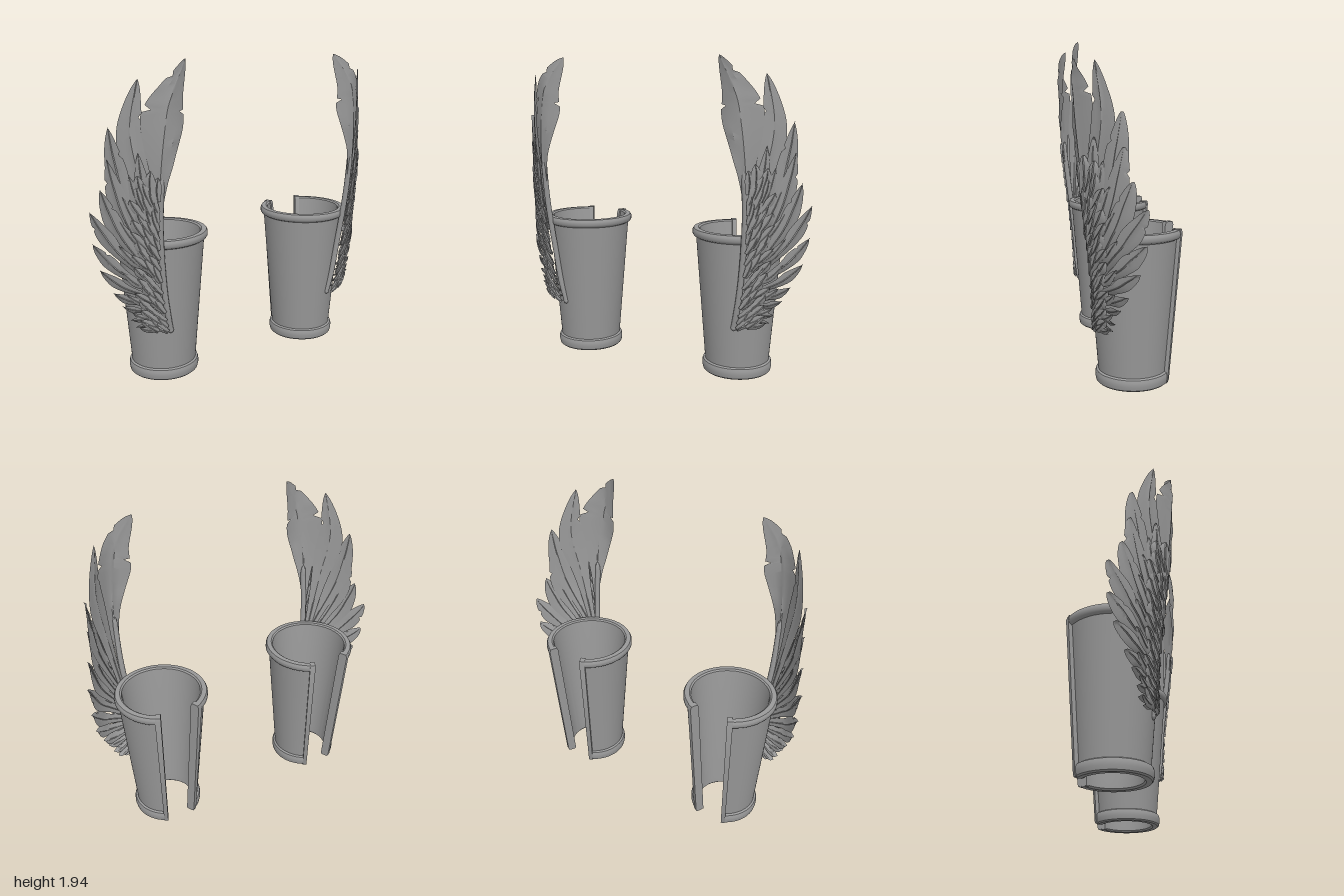
import * as THREE from 'three';
import { toCreasedNormals } from 'three/addons/utils/BufferGeometryUtils.js';

const material = new THREE.MeshStandardMaterial({ color: 0x999999, side: THREE.DoubleSide });
const { lerp, smoothstep } = THREE.MathUtils;

function addMesh(parent, geometry, name, crease = 0.6) {
  const mesh = new THREE.Mesh(toCreasedNormals(geometry, crease), material);
  mesh.name = name;
  parent.add(mesh);
}

// ---- cuff: closed wall profile swept around y, leaving a slit at the back ----
const GAP = 0.45;

function addBand(parent, profile, start, length, segments, name) {
  const points = profile.map(([r, y]) => new THREE.Vector2(r, y));
  const band = new THREE.Group();
  band.name = name;
  parent.add(band);
  addMesh(band, new THREE.LatheGeometry([...points, points[0].clone()], segments, start, length), name + 'Wall');
  for (const phi of [start, start + length]) {
    addMesh(band, new THREE.ShapeGeometry(new THREE.Shape(points)).rotateY(phi - Math.PI / 2), name + 'End');
  }
}

function makeCuff() {
  const cuff = new THREE.Group();
  cuff.name = 'cuff';
  const wall = [
    [0.172, 0], [0.203, 0], [0.212, 0.008], [0.217, 0.03], [0.217, 0.052], [0.212, 0.068], [0.2, 0.075],
    [0.264, 0.852], [0.279, 0.86], [0.286, 0.872], [0.286, 0.893], [0.279, 0.906], [0.25, 0.908],
    [0.24, 0.9], [0.236, 0.86], [0.166, 0.07], [0.164, 0.01],
  ];
  addBand(cuff, wall, Math.PI + GAP, 2 * Math.PI - 2 * GAP, 64, 'cuffShell');
  // raised trim along both edges of the slit
  const trim = [[0.162, 0.004], [0.214, 0.004], [0.22, 0.02], [0.289, 0.89], [0.283, 0.91], [0.238, 0.91], [0.23, 0.89]];
  const width = 0.12;
  addBand(cuff, trim, Math.PI + GAP - 0.01, width, 4, 'slitTrim');
  addBand(cuff, trim, Math.PI - GAP + 0.01 - width, width, 4, 'slitTrim');
  cuff.position.set(0.545, 0, -0.045);
  return cuff;
}

// ---- wing: everything lies on one curved sheet z = sheet(x, y) ----
const SHEET = [[0.5, 0.245], [0.56, 0.28], [0.63, 0.3], [0.7, 0.275], [0.78, 0.205], [0.85, 0.14], [0.92, 0.06], [1.0, -0.045]];
const OUT = new THREE.Vector3(0.62, 0, 0.78);

function sheet(x, y) {
  let i = 0;
  while (i < SHEET.length - 2 && x > SHEET[i + 1][0]) i++;
  const [a, b] = [SHEET[i], SHEET[i + 1]];
  const sink = 0.13 * (1 - smoothstep(y, 0.2, 1.6)) * lerp(1, 0.3, smoothstep(x, 0.65, 0.95));
  return lerp(a[1], b[1], (x - a[0]) / (b[0] - a[0])) - sink;
}

// cross-section of a feather: thin vane with a ridge, [across, thickness]
const RING = [
  [-1, 0], [-0.5, 0.6], [-0.1, 0.7], [0, 1.4], [0.1, 0.7], [0.5, 0.6],
  [1, 0], [0.5, -0.6], [0.1, -0.7], [0, -1.2], [-0.1, -0.7], [-0.5, -0.6],
];

function featherGeometry(path, { width, root = 0.4, point = 1.35, lift = 0, tilt = 0, thick = 0.006, steps = 12, notches = [] }) {
  const curve = new THREE.SplineCurve(path.map(([x, y]) => new THREE.Vector2(x, y)));
  const positions = [], index = [], n = RING.length;
  for (let i = 0; i <= steps; i++) {
    const t = i / steps;
    const p = curve.getPoint(t), d = curve.getTangent(t);
    const taper = 1 - Math.pow(Math.max(0, (t - 0.5) / 0.5), point);
    const w = width * lerp(root, 1, smoothstep(t, 0, 0.62)) * taper + 0.0005;
    for (const [u, h] of RING) {
      // small V-shaped splits in the vane
      const cut = notches.some(([at, side]) => Math.round(at * steps) === i && side * u > 0.9) ? 0.7 : 1;
      const x = p.x + d.y * u * w * cut, y = p.y - d.x * u * w * cut;
      const off = lift + tilt * u + h * thick * Math.min(1, 0.25 + taper);
      positions.push(x + OUT.x * off, y, sheet(x, y) + OUT.z * off);
    }
  }
  for (let i = 0; i < steps; i++) {
    for (let k = 0; k < n; k++) {
      const a = i * n + k, b = i * n + (k + 1) % n;
      index.push(a, b, a + n, b, b + n, a + n);
    }
  }
  const g = new THREE.BufferGeometry();
  g.setAttribute('position', new THREE.Float32BufferAttribute(positions, 3));
  g.setIndex(index);
  return g;
}

const STEM = new THREE.SplineCurve([[0.603, 0.335], [0.638, 0.52], [0.67, 0.8], [0.686, 1.03], [0.687, 1.24]]
  .map(([x, y]) => new THREE.Vector2(x, y)));

function makeWing() {
  const wing = new THREE.Group();
  wing.name = 'wing';

  // two broad top feathers
  addMesh(wing, featherGeometry([[0.695, 0.95], [0.69, 1.3], [0.668, 1.56], [0.63, 1.74], [0.52, 1.935]],
    { width: 0.122, root: 0.05, point: 1.8, steps: 40, lift: 0.004, notches: [[0.66, -1], [0.62, 1], [0.85, 1]] }), 'topFeather');
  addMesh(wing, featherGeometry([[0.71, 0.85], [0.78, 1.25], [0.822, 1.55], [0.785, 1.83]],
    { width: 0.064, root: 0.3, point: 1.8, steps: 36, lift: -0.004, notches: [[0.74, -1]] }), 'topFeather');

  // fan of flight feathers: [tip x, tip y, half width]
  const tips = [
    [0.91, 1.565, 0.05], [0.918, 1.385, 0.046], [0.948, 1.21, 0.045], [0.993, 1.07, 0.043], [0.985, 0.88, 0.041],
    [0.957, 0.725, 0.037], [0.905, 0.59, 0.032], [0.865, 0.51, 0.026], [0.825, 0.425, 0.022], [0.8, 0.375, 0.02], [0.755, 0.345, 0.018],
  ];
  tips.forEach(([x, y, width], i) => {
    const s = i / (tips.length - 1);
    const bx = lerp(0.715, 0.635, s * s), by = lerp(0.82, 0.37, Math.pow(s, 0.8));
    const bow = 0.04 * (1 - s);
    const path = [[bx, by], [lerp(bx, x, 0.5) + bow * 0.8, lerp(by, y, 0.5) - bow],
      [lerp(bx, x, 0.8) + bow * 0.5, lerp(by, y, 0.8) - bow * 0.6], [x, y]];
    const notches = i < 5 ? [[0.7, i % 2 ? 1 : -1]] : [];
    addMesh(wing, featherGeometry(path, { width, lift: 0.003 * (i % 3), tilt: -0.01, thick: 0.008, steps: 30, notches }), 'flightFeather');
  });

  // secondary row half covering the flight feathers
  for (let i = 0; i < 9; i++) {
    const s = i / 8, p = STEM.getPoint(lerp(0.8, 0.04, s));
    const angle = lerp(1.4, 0.2, s), len = lerp(0.36, 0.14, s);
    const end = [p.x + 0.04 + Math.cos(angle) * len, p.y + Math.sin(angle) * len];
    const path = [[p.x + 0.03, p.y], [lerp(p.x, end[0], 0.55) + 0.025, lerp(p.y, end[1], 0.5) - 0.01], end];
    addMesh(wing, featherGeometry(path, { width: lerp(0.034, 0.02, s), lift: 0.014, tilt: -0.006 }), 'secondaryFeather');
  }

  // band of overlapping coverts beside the stem
  for (let col = 0; col < 3; col++) {
    for (let i = 0; i < 15; i++) {
      const s = (i + (col % 2) * 0.5) / 15;
      const p = STEM.getPoint(s * 0.95);
      const angle = lerp(0.75, 1.5, s) - col * 0.08 + 0.15 * Math.sin(i * 2.3 + col);
      const len = 0.1 + 0.04 * s;
      const x = p.x + 0.01 + col * 0.031, y = p.y + col * 0.006;
      const path = [[x, y], [x + Math.cos(angle) * len * 0.5 + 0.006, y + Math.sin(angle) * len * 0.5],
        [x + Math.cos(angle) * len, y + Math.sin(angle) * len]];
      addMesh(wing, featherGeometry(path,
        { width: 0.027, root: 0.6, point: 1.8, steps: 10, thick: 0.01, lift: 0.028 - col * 0.003, tilt: -0.007 }), 'covertFeather');
    }
  }

  // stem along the leading edge with a rounded foot and slim tip
  const line = STEM.getPoints(12).map((p) => new THREE.Vector3(p.x, p.y, sheet(p.x, p.y)));
  addMesh(wing, new THREE.TubeGeometry(new THREE.CatmullRomCurve3(line), 40, 0.018, 10), 'wingStem', 1);
  addMesh(wing, new THREE.SphereGeometry(0.019, 12, 8).translate(...line[0].toArray()), 'stemFoot', 1);
  addMesh(wing, new THREE.SphereGeometry(0.018, 12, 8).scale(1, 4, 1).translate(...line[12].toArray()), 'stemTip', 1);
  return wing;
}

export function createModel() {
  const model = new THREE.Group();
  model.name = 'wingedCuffs';
  for (const side of [1, -1]) {
    const bracer = new THREE.Group();
    bracer.name = side > 0 ? 'leftBracer' : 'rightBracer';
    bracer.add(makeCuff(), makeWing());
    bracer.scale.x = side;
    model.add(bracer);
  }
  return model;
}
